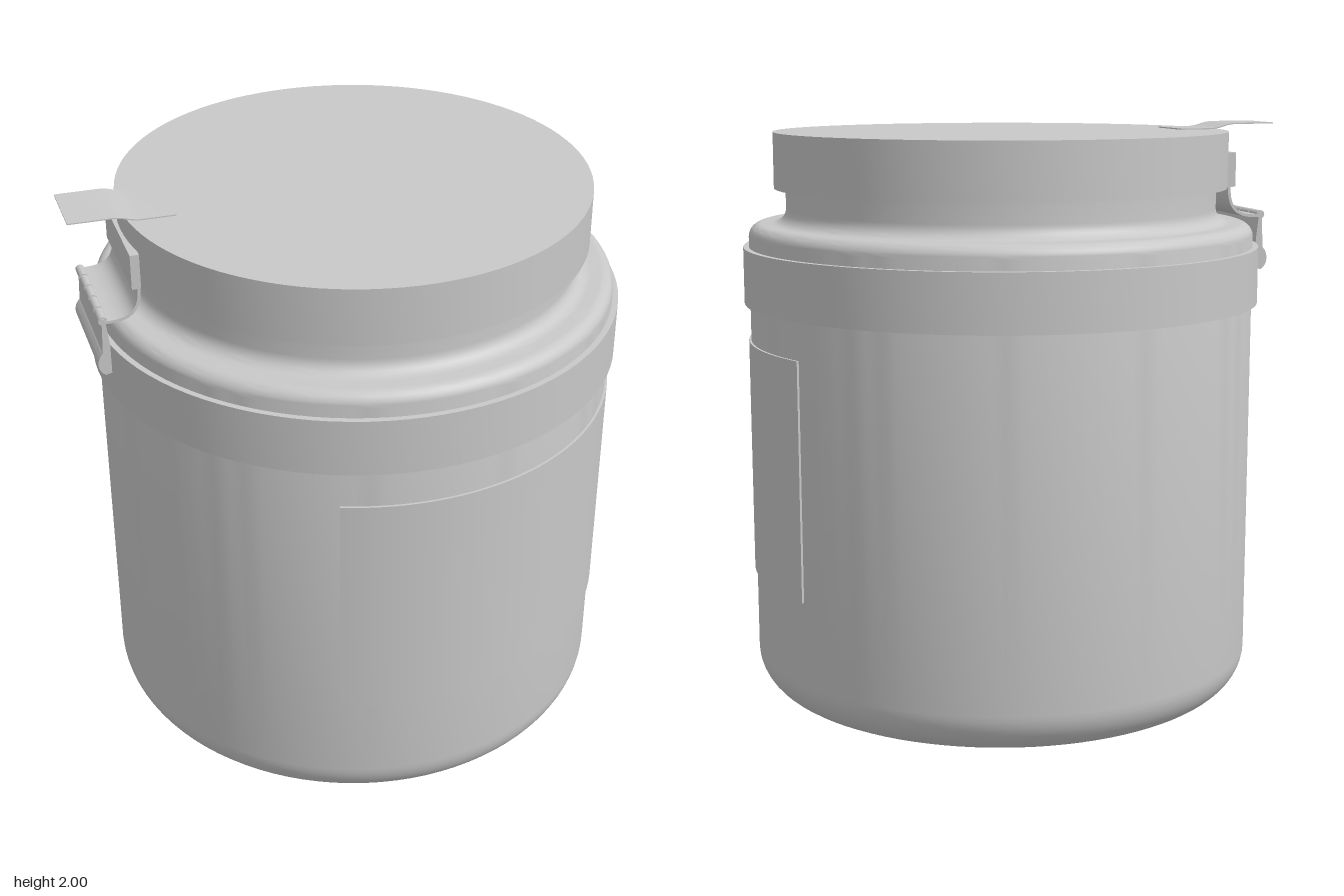
import * as THREE from 'three';
import { toCreasedNormals } from 'three/addons/utils/BufferGeometryUtils.js';

const AXIS_X = 0.037; // the jar's axis sits off centre because the clip sticks out
const grey = new THREE.MeshStandardMaterial({ color: 0xc8c8c8, side: THREE.DoubleSide });
grey.name = 'plain grey';

function add(group, name, geometry, x = 0, y = 0, z = 0) {
  const mesh = new THREE.Mesh(geometry, grey);
  mesh.name = name;
  mesh.position.set(x, y, z);
  group.add(mesh);
  return mesh;
}

// Turned part from [radius, height] points, with sharp corners kept
function turned(points, segments = 96, start = 0, length = Math.PI * 2) {
  const profile = points.map(([r, y]) => new THREE.Vector2(r, y));
  return toCreasedNormals(new THREE.LatheGeometry(profile, segments, start, length), 0.6);
}

// Points on a rounded corner of a profile
function corner(cx, cy, radius, from, to, steps = 8) {
  return Array.from({ length: steps + 1 }, (_, i) => {
    const a = from + ((to - from) * i) / steps;
    return [cx + radius * Math.cos(a), cy + radius * Math.sin(a)];
  });
}

// Side profile in x, y pushed through the width in z
function pressed(shape, z0, z1) {
  const g = new THREE.ExtrudeGeometry(shape, { depth: z1 - z0, bevelEnabled: false, curveSegments: 10 });
  g.translate(0, 0, z0);
  return toCreasedNormals(g, 0.6);
}

// Bent sheet of even thickness following a centre line
function sheet(points, thickness, z0, z1) {
  const line = points.map(([x, y]) => new THREE.Vector2(x, y));
  const sides = [[], []];
  line.forEach((p, i) => {
    const before = line[Math.max(i - 1, 0)];
    const after = line[Math.min(i + 1, line.length - 1)];
    const d = after.clone().sub(before).normalize().multiplyScalar(thickness / 2);
    sides[0].push(new THREE.Vector2(p.x - d.y, p.y + d.x));
    sides[1].unshift(new THREE.Vector2(p.x + d.y, p.y - d.x));
  });
  return pressed(new THREE.Shape([...sides[0], ...sides[1]]), z0, z1);
}

export function createModel() {
  const model = new THREE.Group();
  model.name = 'clipTopJar';
  const HALF = Math.PI / 2;

  // Jar body: rounded base, straight wall, rounded shoulder and flared neck
  add(model, 'jarBody', turned([
    [0, 0.003], [0.7, 0.003],
    ...corner(0.73, 0.153, 0.15, -HALF, 0, 12),
    ...corner(0.835, 1.62, 0.045, 0, HALF),
    ...corner(0.8, 1.715, 0.05, -HALF, -Math.PI),
    [0.75, 1.8],
  ]), AXIS_X);

  // Raised band below the shoulder
  add(model, 'shoulderBand', turned([
    [0.87, 1.39], [0.9, 1.39], [0.9, 1.585], [0.87, 1.585],
  ]), AXIS_X);

  // Flat lid
  add(model, 'lid', turned([
    [0, 1.785], [0.79, 1.785], [0.79, 1.977], [0, 1.977],
  ]), AXIS_X);

  // Thin label wrapped from the front round the left side
  const start = -0.364, end = 2.025;
  add(model, 'label', turned([
    [0.879, 0.445], [0.888, 0.445], [0.888, 1.26], [0.879, 1.26],
  ], 48, start, end - start), AXIS_X);
  for (const a of [start, end]) {
    const edge = add(model, 'labelEdge', new THREE.PlaneGeometry(0.009, 0.815),
      AXIS_X + 0.8835 * Math.sin(a), 0.8525, 0.8835 * Math.cos(a));
    edge.rotation.y = a - HALF;
  }

  // Clip on the model's right
  const clip = new THREE.Group();
  clip.name = 'clip';
  model.add(clip);
  const z0 = -0.2, z1 = 0.19;

  // Thumb tab: rests on the lid, then steps up and overhangs
  add(clip, 'thumbTab', sheet([
    [-0.59, 1.979], [-0.71, 1.98], [-0.735, 1.984], [-0.765, 1.993], [-0.79, 1.997], [-0.94, 1.998],
  ], 0.004, -0.115, 0.11));

  // Catch plate against the lid
  add(clip, 'catchPlate', new THREE.BoxGeometry(0.03, 0.12, z1 - z0), -0.75, 1.84, (z0 + z1) / 2);

  // Curved link running out to the hinge
  const bend = new THREE.CubicBezierCurve(
    new THREE.Vector2(-0.742, 1.77), new THREE.Vector2(-0.745, 1.69),
    new THREE.Vector2(-0.79, 1.672), new THREE.Vector2(-0.865, 1.677));
  add(clip, 'curvedLink', sheet([
    [-0.74, 1.88], ...bend.getPoints(14).map((p) => [p.x, p.y]),
  ], 0.01, z0, z1));

  // Hinge knuckles with narrow gaps, on a pin
  const count = 5, pitch = (z1 - z0) / count;
  for (let i = 0; i < count; i++) {
    const knuckle = add(clip, 'hingeKnuckle', new THREE.CylinderGeometry(0.015, 0.015, pitch * 0.9, 16),
      -0.865, 1.68, z0 + pitch * (i + 0.5));
    knuckle.rotation.x = HALF;
  }
  const pin = add(clip, 'hingePin', new THREE.CylinderGeometry(0.008, 0.008, z1 - z0, 12),
    -0.865, 1.68, (z0 + z1) / 2);
  pin.rotation.x = HALF;

  // Hanging lever with a rounded grip at its lower end
  const lever = new THREE.Shape();
  lever.moveTo(-0.857, 1.675);
  lever.lineTo(-0.848, 1.59);
  lever.lineTo(-0.848, 1.49);
  lever.lineTo(-0.868, 1.485);
  lever.bezierCurveTo(-0.898, 1.5, -0.897, 1.545, -0.874, 1.565);
  lever.lineTo(-0.87, 1.675);
  lever.closePath();
  add(clip, 'lever', pressed(lever, z0, z1));

  return model;
}
